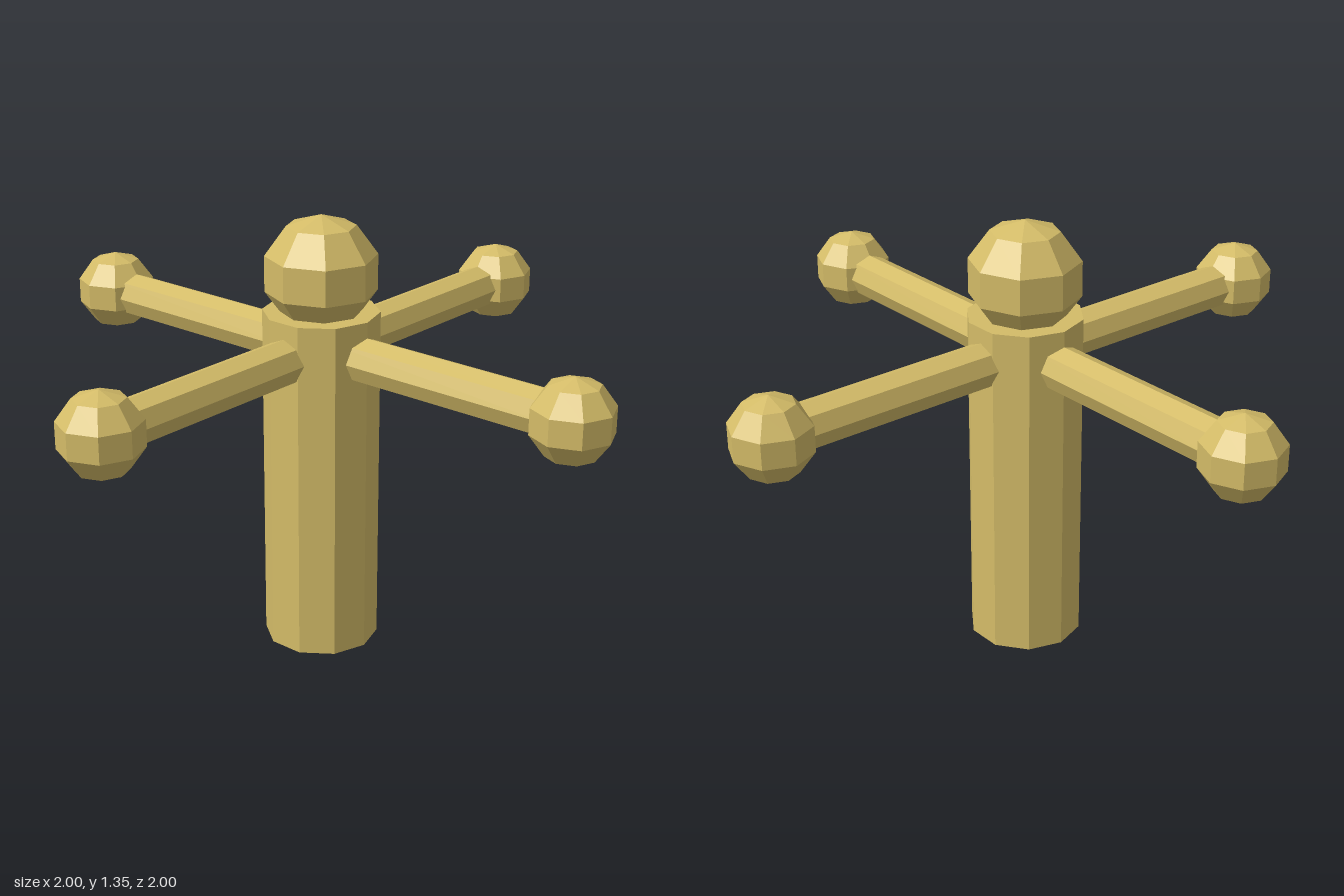
import * as THREE from 'three';

export function createModel() {
  const model = new THREE.Group();
  model.name = 'fourArmedPost';
  const brass = new THREE.MeshStandardMaterial({ color: 0xd4bc68 });
  brass.name = 'brass';

  // Faceted part: unshared vertices give flat normals
  function addPart(name, geometry, parent, x, y, z) {
    const flat = geometry.toNonIndexed();
    flat.computeVertexNormals();
    const mesh = new THREE.Mesh(flat, brass);
    mesh.name = name;
    mesh.position.set(x, y, z);
    parent.add(mesh);
    return mesh;
  }

  const armY = 0.938;
  const reach = 0.881;

  // Ten-sided post with a ball on top
  addPart('post', new THREE.CylinderGeometry(0.175, 0.175, 1.055, 10), model, 0, 0.5275, 0);
  addPart('topBall', new THREE.SphereGeometry(0.175, 8, 5), model, 0, 1.17, 0);

  // Four equal arms, each ending in a ball
  ['left', 'back', 'right', 'front'].forEach((side, i) => {
    const arm = new THREE.Group();
    arm.name = side + 'Arm';
    arm.position.y = armY;
    arm.rotation.y = (i * Math.PI) / 2;
    const rod = new THREE.CylinderGeometry(0.069, 0.069, reach, 8);
    rod.rotateZ(-Math.PI / 2);
    addPart(side + 'Rod', rod, arm, reach / 2, 0, 0);
    addPart(side + 'Ball', new THREE.SphereGeometry(0.125, 8, 5), arm, reach, 0, 0);
    model.add(arm);
  });

  return model;
}
